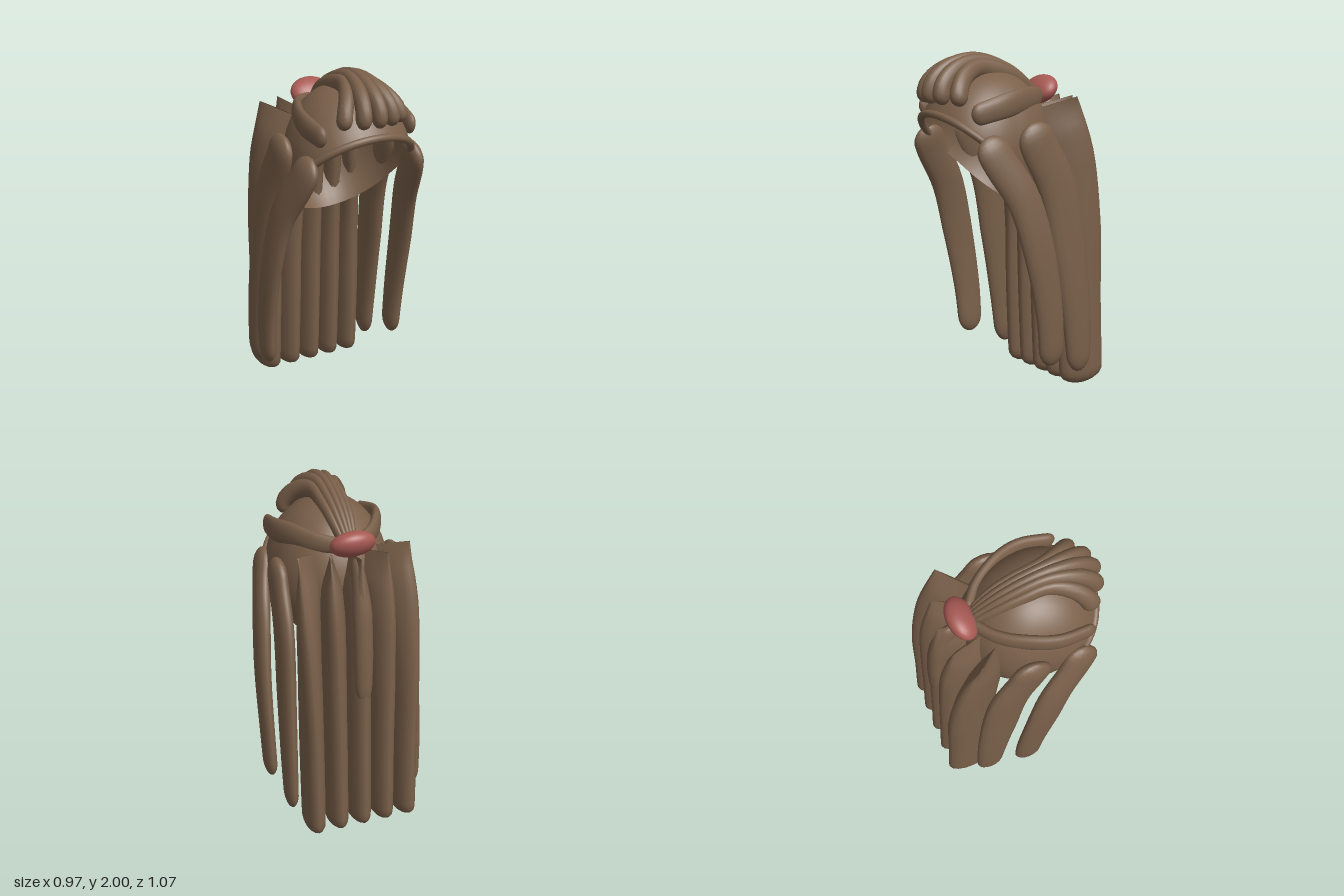
import * as THREE from 'three';

const hair = new THREE.MeshStandardMaterial({ color: 0x7a604a, side: THREE.DoubleSide });
hair.name = 'brown hair';
const red = new THREE.MeshStandardMaterial({ color: 0xa85a54 });
red.name = 'red band';

// Value of an evenly spaced list at u in 0..1
function sample(list, u) {
  const f = u * (list.length - 1), i = Math.min(Math.floor(f), list.length - 2);
  return THREE.MathUtils.lerp(list[i], list[i + 1], f - i);
}

// Elliptical lock swept along a path: a = half size along hint(u), b = half size across it.
// startRound / endRound = share of the length used by each rounded end.
const alongX = () => new THREE.Vector3(1, 0, 0);
function lock(name, pts, a, b, { hint = alongX, startRound = 0.07, endRound = 0.07 } = {}) {
  const curve = new THREE.CatmullRomCurve3(pts.map(p => new THREE.Vector3(...p)));
  const rows = 32, sides = 16, pos = [], index = [];
  const round = (u, e) => (u < e ? Math.sqrt(Math.max(0, 1 - (1 - u / e) ** 2)) : 1);
  for (let i = 0; i <= rows; i++) {
    const u = (1 - Math.cos(Math.PI * i / rows)) / 2;
    const p = curve.getPointAt(u), t = curve.getTangentAt(u);
    const side = new THREE.Vector3().crossVectors(t, hint(u)).normalize();
    const n = new THREE.Vector3().crossVectors(side, t);
    const s = Math.max(0.01, round(u, startRound) * round(1 - u, endRound));
    for (let j = 0; j < sides; j++) {
      const th = 2 * Math.PI * j / sides;
      const v = p.clone()
        .addScaledVector(n, Math.cos(th) * s * sample(a, u))
        .addScaledVector(side, Math.sin(th) * s * sample(b, u));
      pos.push(v.x, v.y, v.z);
      if (i < rows) {
        const q = i * sides + j, r = i * sides + (j + 1) % sides;
        index.push(q, r, q + sides, r, r + sides, q + sides);
      }
    }
  }
  const g = new THREE.BufferGeometry();
  g.setAttribute('position', new THREE.Float32BufferAttribute(pos, 3));
  g.setIndex(index);
  g.computeVertexNormals();
  const m = new THREE.Mesh(g, hair);
  m.name = name;
  return m;
}

export function createModel() {
  const group = new THREE.Group();
  group.name = 'hairstyle';

  // Open scalp cap, tilted back so the face opening is at the front, broad forehead, flatter back
  const theta = 1.793, xAxis = alongX();
  const capPoint = v => {
    v.applyAxisAngle(xAxis, -0.709);
    return v.set(v.x * 0.34 * (1 + 0.2 * Math.max(0, v.z)), 1.45 + v.y * 0.45,
      0.1 + v.z * (v.z > 0 ? 0.42 : 0.385));
  };
  const capGeo = new THREE.SphereGeometry(1, 48, 24, 0, Math.PI * 2, 0, theta);
  const capPos = capGeo.attributes.position, v = new THREE.Vector3();
  for (let i = 0; i < capPos.count; i++) {
    capPoint(v.fromBufferAttribute(capPos, i));
    capPos.setXYZ(i, v.x, v.y, v.z);
  }
  capGeo.computeVertexNormals();
  const cap = new THREE.Mesh(capGeo, hair);
  cap.name = 'cap';
  group.add(cap);

  // Soft roll along the front hairline
  const rim = [];
  for (let i = 0; i <= 12; i++) {
    const phi = (i / 12 - 0.5) * 2.4;
    rim.push(capPoint(new THREE.Vector3(
      Math.sin(theta) * Math.sin(phi), Math.cos(theta), Math.sin(theta) * Math.cos(phi))));
  }
  const hairline = new THREE.Mesh(
    new THREE.TubeGeometry(new THREE.CatmullRomCurve3(rim), 40, 0.022, 10), hair);
  hairline.name = 'hairline';
  group.add(hairline);

  // Five fringe locks blending from the middle path to the outer path
  const middle = [[0, 1.74, -0.23], [0, 1.85, -0.08], [0, 1.92, 0.06], [0, 1.95, 0.2],
    [0, 1.915, 0.36], [0, 1.83, 0.465], [0, 1.72, 0.483]];
  const outer = [[0.03, 1.73, -0.22], [0.055, 1.83, -0.08], [0.065, 1.89, 0.06], [0.07, 1.915, 0.2],
    [0.115, 1.875, 0.32], [0.165, 1.8, 0.39], [0.185, 1.715, 0.41]];
  for (let k = -2; k <= 2; k++) {
    const drop = (k / 2) ** 2;
    const pts = middle.map((m, i) => [
      outer[i][0] * k / 2,
      THREE.MathUtils.lerp(m[1], outer[i][1], drop),
      THREE.MathUtils.lerp(m[2], outer[i][2], drop)]);
    group.add(lock('fringeLock', pts, [0.018, 0.026, 0.03, 0.042, 0.042], [0.035, 0.05, 0.05, 0.054, 0.055]));
  }

  for (const s of [1, -1]) {
    const side = s > 0 ? 'left' : 'right';
    const mirror = pts => pts.map(([x, y, z]) => [x * s, y, z]);
    // Swept-back lock running from the temple to the tie
    group.add(lock(side + 'TempleLock', mirror([[0.02, 1.74, -0.24], [0.16, 1.735, -0.13], [0.255, 1.738, 0.02],
      [0.3, 1.715, 0.17], [0.285, 1.665, 0.385]]), [0.04, 0.065, 0.075, 0.07, 0.06], [0.03, 0.032, 0.03],
      { hint: () => new THREE.Vector3(0, 1, 0) }));
    // Hanging side locks
    group.add(lock(side + 'FrontLock', mirror([[0.33, 1.55, 0.325], [0.365, 1.41, 0.255], [0.41, 1.2, 0.128],
      [0.44, 0.9, 0.04], [0.445, 0.5, -0.035], [0.435, 0.21, -0.055]]),
      [0.046, 0.048, 0.044, 0.04, 0.038], [0.105, 0.108, 0.104, 0.092, 0.08]));
    group.add(lock(side + 'MiddleLock', mirror([[0.345, 1.61, 0.035], [0.35, 1.47, -0.025], [0.362, 1.24, -0.14],
      [0.38, 0.8, -0.225], [0.387, 0.45, -0.27], [0.385, 0.12, -0.295]]),
      [0.048, 0.05, 0.047, 0.044, 0.038], [0.12, 0.125, 0.12, 0.1, 0.078]));
  }

  // Five long back locks: ridges fan out around the head at the top and untwist on the way down
  for (let k = -2; k <= 2; k++) {
    const x = k * 0.14, out = Math.abs(k) / 2;
    const forward = 0.07 * out * out;
    const hint = u => {
      const yaw = k / 2 * (0.08 + 0.64 * (1 - u) ** 3);
      return new THREE.Vector3(Math.cos(yaw), 0, Math.sin(yaw));
    };
    group.add(lock('backLock', [[x * 0.8, 1.695, -0.255 + forward], [x * 0.93, 1.4, -0.32 + forward * 0.6],
      [x, 1, -0.35], [x, 0.5, -0.37], [x, 0.005, -0.392]],
      [0.004, 0.058, 0.068, 0.068, 0.068, 0.067, 0.066, 0.066, 0.065, 0.064, 0.062],
      [0.165, 0.165, 0.165, 0.158, 0.152, 0.15, 0.15, 0.15, 0.15, 0.15, 0.146],
      { hint, startRound: 0, endRound: 0.045 }));
  }

  // Short tail hanging below the tie
  group.add(lock('tail', [[0, 1.7, -0.32], [0, 1.5, -0.41], [0, 1.25, -0.448], [0, 0.84, -0.465]],
    [0.03, 0.055, 0.055, 0.045], [0.06, 0.055, 0.05, 0.045], { endRound: 0.15 }));

  // Red tie where the locks meet
  const tie = new THREE.Mesh(new THREE.SphereGeometry(1, 32, 20), red);
  tie.name = 'hairTie';
  tie.scale.set(0.131, 0.1, 0.066);
  tie.rotation.x = -0.78;
  tie.position.set(0, 1.765, -0.275);
  group.add(tie);

  return group;
}
